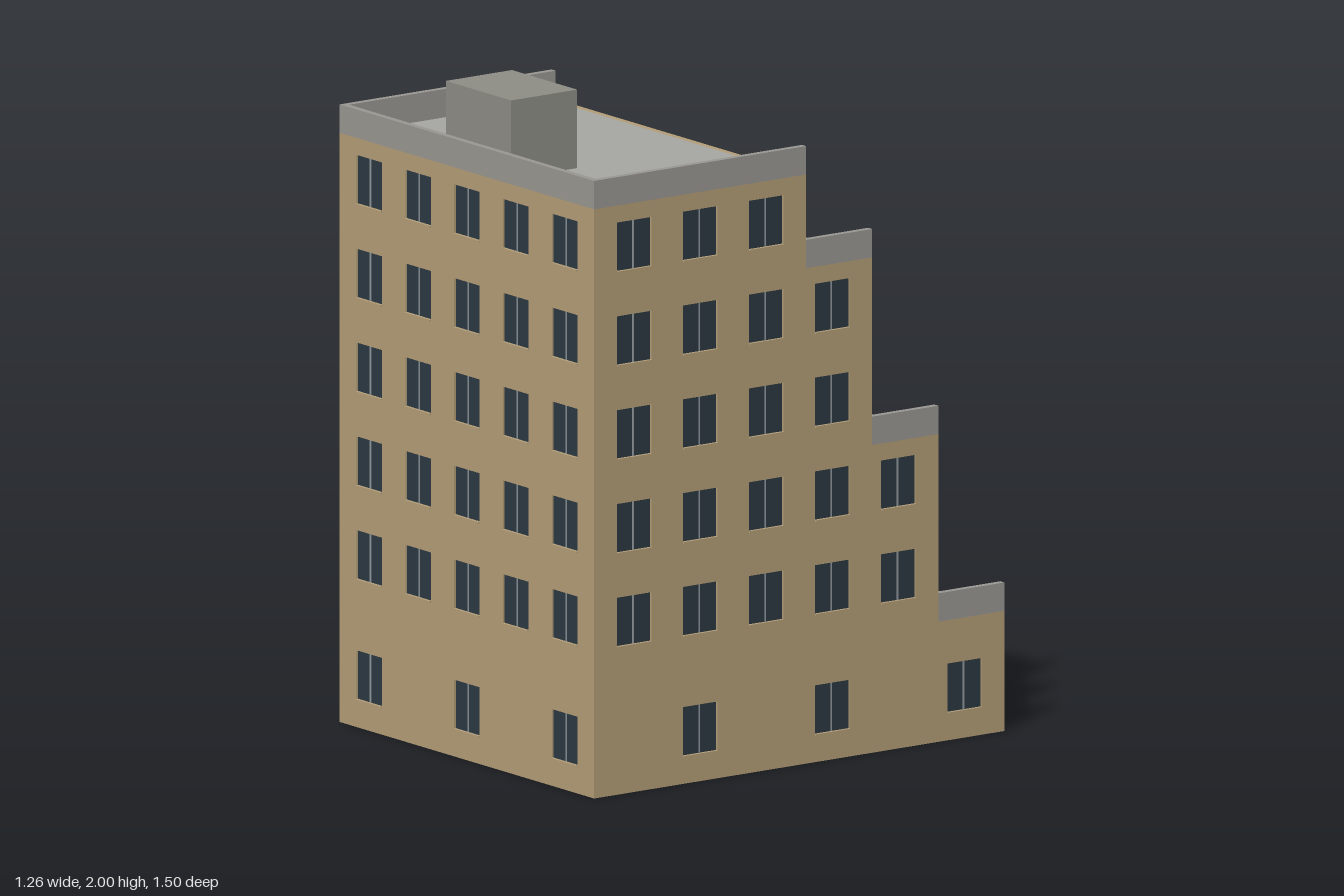
import * as THREE from 'three';

const mat = (color) => new THREE.MeshStandardMaterial({ color });
const BRICK = mat(0xb39e78), CONCRETE = mat(0x9a9792), ROOF = mat(0xa6a7a2), HUT = mat(0x8e8d85);
const GLASS = mat(0x2c3842), FRAME = mat(0x2a2c2f), MULLION = mat(0x8f979b);

const W = 1.25, FRONT = 0.745, T = 0.02, BAY = 0.24;
const GROUND_H = 0.36, FLOOR_H = 0.281, PARAPET_H = 0.085;
const WIN = { w: 0.125, h: 0.15, sill: 0.08 };
const SHOP = { w: 0.205, h: 0.27, sill: 0.012 };
// back face of each storey, stepping in to form terraces
const BACKS = [-0.745, -0.505, -0.505, -0.265, -0.265, -0.025];

function box(parent, name, material, w, h, d, x, y, z) {
  const m = new THREE.Mesh(new THREE.BoxGeometry(w, h, d), material);
  m.name = name;
  m.position.set(x, y, z);
  parent.add(m);
  return m;
}

// Recessed two-pane window with a thin sill; local z = 0..T is the wall depth
function addWindow(parent, x) {
  const g = new THREE.Group();
  g.name = 'window';
  g.position.set(x, WIN.sill, 0);
  const cy = WIN.h / 2;
  box(g, 'windowGlass', GLASS, WIN.w, WIN.h, 0.008, 0, cy, T / 2);
  box(g, 'windowMullion', MULLION, 0.005, WIN.h, 0.012, 0, cy, T / 2);
  box(g, 'windowSill', BRICK, WIN.w, 0.005, 0.015, 0, 0.0015, T - 0.0035);
  parent.add(g);
}

// Shop bay with frame, transom and centre post; the door bay has two leaves with handles
function addShopBay(parent, x, isDoor) {
  const g = new THREE.Group();
  g.name = isDoor ? 'entranceDoor' : 'shopWindow';
  g.position.set(x, SHOP.sill, 0);
  const f = isDoor ? 0.012 : 0.006;
  box(g, 'shopGlass', GLASS, SHOP.w, SHOP.h, 0.006, 0, SHOP.h / 2, T / 2);
  for (const s of [-1, 1]) {
    box(g, 'shopFrameSide', FRAME, f, SHOP.h, 0.014, s * (SHOP.w - f) / 2, SHOP.h / 2, T / 2);
    if (isDoor) box(g, 'doorHandle', MULLION, 0.004, 0.04, 0.006, s * 0.014, 0.1, T);
  }
  box(g, 'shopPost', isDoor ? FRAME : MULLION, f, SHOP.h, 0.012, 0, SHOP.h / 2, T / 2);
  box(g, 'shopTransom', isDoor ? FRAME : MULLION, SHOP.w, f, 0.012, 0, SHOP.h * 0.78, T / 2);
  box(g, 'shopFrameTop', FRAME, SHOP.w, f, 0.014, 0, SHOP.h - f / 2, T / 2);
  box(g, 'shopFrameBottom', FRAME, SHOP.w, f, 0.014, 0, f / 2, T / 2);
  parent.add(g);
}

// Wall panel with openings, extruded outwards along local z
function makeWall(name, length, height, centres, opening) {
  const g = new THREE.Group();
  g.name = name;
  const rect = (P, x0, y0, x1, y1) => {
    const p = new P();
    p.moveTo(x0, y0);
    p.lineTo(x1, y0);
    p.lineTo(x1, y1);
    p.lineTo(x0, y1);
    p.closePath();
    return p;
  };
  const shape = rect(THREE.Shape, -length / 2, 0, length / 2, height);
  for (const c of centres) {
    const { w, h, sill } = opening;
    shape.holes.push(rect(THREE.Path, c - w / 2, sill, c + w / 2, sill + h));
  }
  const panel = new THREE.Mesh(
    new THREE.ExtrudeGeometry(shape, { depth: T, bevelEnabled: false }), BRICK);
  panel.name = name + 'Panel';
  g.add(panel);
  for (const c of centres) {
    if (opening === SHOP) addShopBay(g, c, c === 0);
    else addWindow(g, c);
  }
  return g;
}

export function createModel() {
  const model = new THREE.Group();
  model.name = 'terracedBuilding';
  const inner = W - 2 * T;
  let y = 0;

  BACKS.forEach((back, i) => {
    const storey = new THREE.Group();
    storey.name = 'storey' + (i + 1);
    storey.position.y = y;
    model.add(storey);
    const h = i === 0 ? GROUND_H : FLOOR_H;
    const depth = FRONT - back, midZ = (FRONT + back) / 2;
    const across = [-2, -1, 0, 1, 2].map((k) => k * BAY);
    const every2 = (k) => i > 0 || k % 2 === 0;

    // front and back walls
    const front = makeWall('frontWall', inner, h, across.filter((_, k) => every2(k)), WIN);
    front.position.z = FRONT - T;
    const rear = makeWall('backWall', inner, h, across, i === 0 ? SHOP : WIN);
    rear.position.z = back + T;
    rear.rotation.y = Math.PI;
    storey.add(front, rear);

    // side walls, one window per bay behind the front corner
    const zs = [];
    for (let k = 0, z = 0.6; z > back + 0.1; k++, z -= BAY) {
      if (i > 0 || k % 2 === 1) zs.push(z);
    }
    for (const s of [-1, 1]) {
      const side = makeWall(s > 0 ? 'leftWall' : 'rightWall', depth, h,
        zs.map((z) => -s * (z - midZ)), WIN);
      side.position.set(s * (W / 2 - T), 0, midZ);
      side.rotation.y = s * Math.PI / 2;
      storey.add(side);
    }

    // slab that is ceiling below and roof or terrace above
    box(storey, 'roofDeck', ROOF, inner, T, depth - 2 * T, 0, h - T / 2, midZ);

    // side parapets wherever the next storey steps back
    const next = i + 1 < BACKS.length ? BACKS[i + 1] : FRONT;
    if (next > back) {
      for (const s of [-1, 1]) {
        box(storey, 'sideParapet', CONCRETE, T, PARAPET_H, next - back,
          s * (W - T) / 2, h + PARAPET_H / 2, (next + back) / 2);
      }
    }
    y += h;
  });

  // front parapet of the main roof
  box(model, 'frontParapet', CONCRETE, inner, PARAPET_H, T, 0, y + PARAPET_H / 2, FRONT - T / 2);

  // rooftop stair hut with its door facing the back
  const hutH = 2 - y;
  box(model, 'stairHut', HUT, 0.32, hutH, 0.24, 0, y + hutH / 2, 0.583);
  box(model, 'stairHutDoor', FRAME, 0.08, 0.17, 0.006, 0, y + 0.085, 0.463);
  return model;
}
